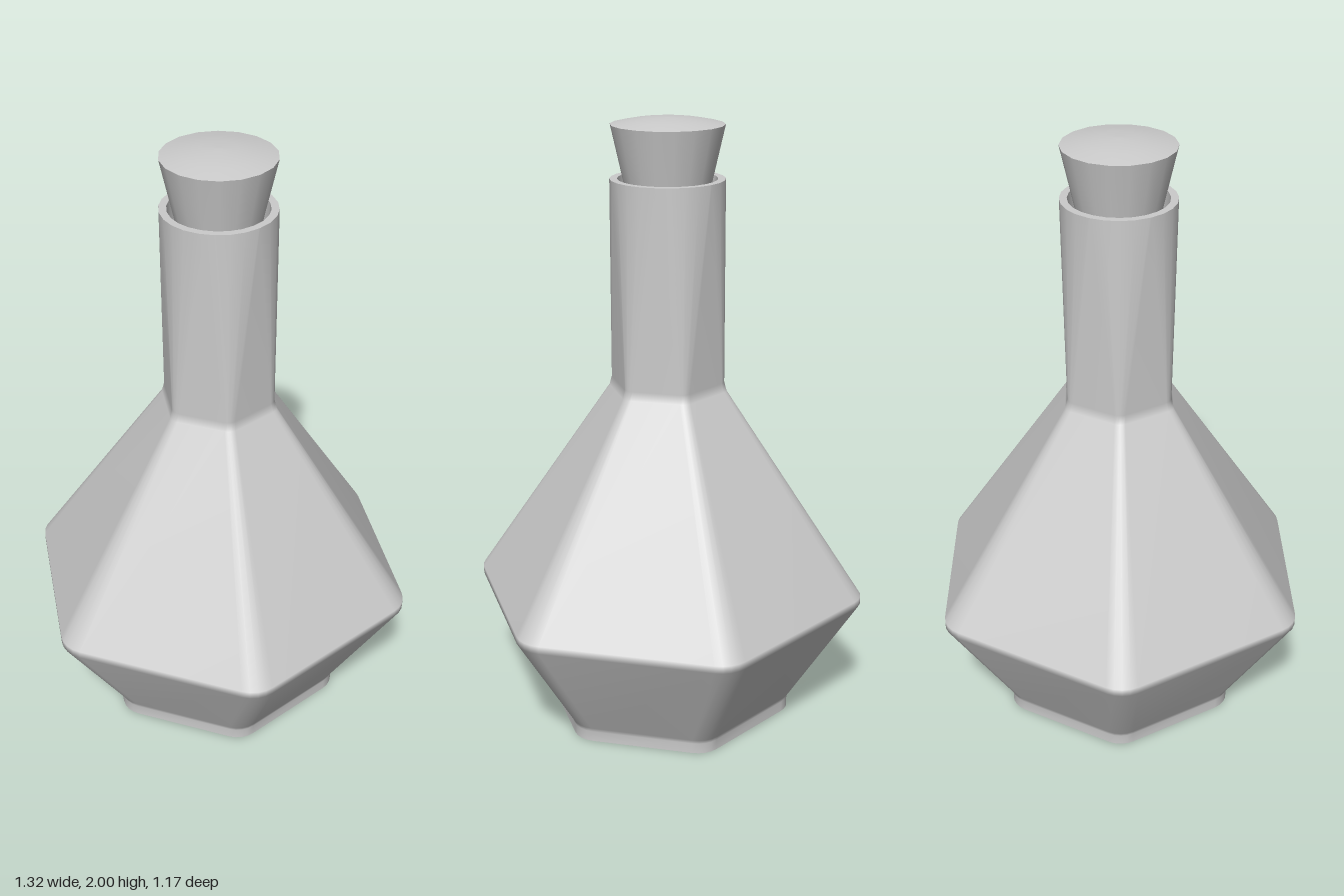
import * as THREE from 'three';

const CORNER_STEPS = 4;

// Hexagon outline with rounded corners: a = distance to the flats, r = corner radius (r near a gives a circle)
function hexRing(y, a, r) {
  const points = [];
  const reach = (a - r) / Math.cos(Math.PI / 6);
  for (let k = 0; k < 6; k++) {
    const corner = (k * Math.PI) / 3;
    for (let s = 0; s <= CORNER_STEPS; s++) {
      const t = corner + (s / CORNER_STEPS - 0.5) * (Math.PI / 3);
      points.push([
        reach * Math.cos(corner) + r * Math.cos(t),
        y,
        reach * Math.sin(corner) + r * Math.sin(t),
      ]);
    }
  }
  return points;
}

// Smooth skin over a list of [y, a, r] sections
function loft(sections) {
  const rings = sections.map(([y, a, r]) => hexRing(y, a, r));
  const n = rings[0].length;
  const index = [];
  for (let i = 0; i < rings.length - 1; i++) {
    for (let j = 0; j < n; j++) {
      const a = i * n + j, b = i * n + ((j + 1) % n);
      index.push(a, a + n, b, b, a + n, b + n);
    }
  }
  const geometry = new THREE.BufferGeometry();
  geometry.setAttribute('position', new THREE.Float32BufferAttribute(rings.flat(2), 3));
  geometry.setIndex(index);
  geometry.computeVertexNormals();
  return geometry;
}

export function createModel() {
  const model = new THREE.Group();
  const material = new THREE.MeshStandardMaterial({ color: 0xcccccc });
  const add = (name, geometry, parent) => {
    const mesh = new THREE.Mesh(geometry, material);
    mesh.name = name;
    parent.add(mesh);
  };

  const bottle = new THREE.Group();
  bottle.name = 'bottle';
  model.add(bottle);

  // Foot, faceted belly and neck that turns from hexagonal to round
  const foot = [0, 0.375, 0.084];
  const lip = [1.81, 0.182, 0.177];
  const bore = [1.81, 0.158, 0.154];
  add('bottleBody', loft([
    foot,
    [0.035, 0.375, 0.084],
    [0.05, 0.38, 0.084],
    [0.415, 0.583, 0.1],
    [0.44, 0.583, 0.1],
    [1.125, 0.174, 0.035],
    [1.155, 0.167, 0.035],
    lip,
  ]), bottle);
  add('bottleBottom', loft([[0, 0.002, 0.001], foot]), bottle);

  // Rim and open inside of the neck
  add('neckRim', loft([lip, bore]), bottle);
  add('neckInside', loft([bore, [1.25, 0.14, 0.06]]), bottle);
  add('neckFloor', loft([[1.25, 0.14, 0.06], [1.25, 0.002, 0.001]]), bottle);

  // Tapered stopper with a slightly domed top
  const stopper = new THREE.Group();
  stopper.name = 'stopper';
  model.add(stopper);
  const lathe = (pairs) =>
    new THREE.LatheGeometry(pairs.map(([r, y]) => new THREE.Vector2(r, y)), 18);
  add('stopperSide', lathe([[0.11, 1.66], [0.142, 1.81], [0.18, 1.978]]), stopper);
  add('stopperTop', lathe([[0.18, 1.978], [0.12, 1.99], [0.06, 1.998], [0, 2]]), stopper);
  add('stopperBottom', lathe([[0, 1.66], [0.11, 1.66]]), stopper);

  return model;
}
